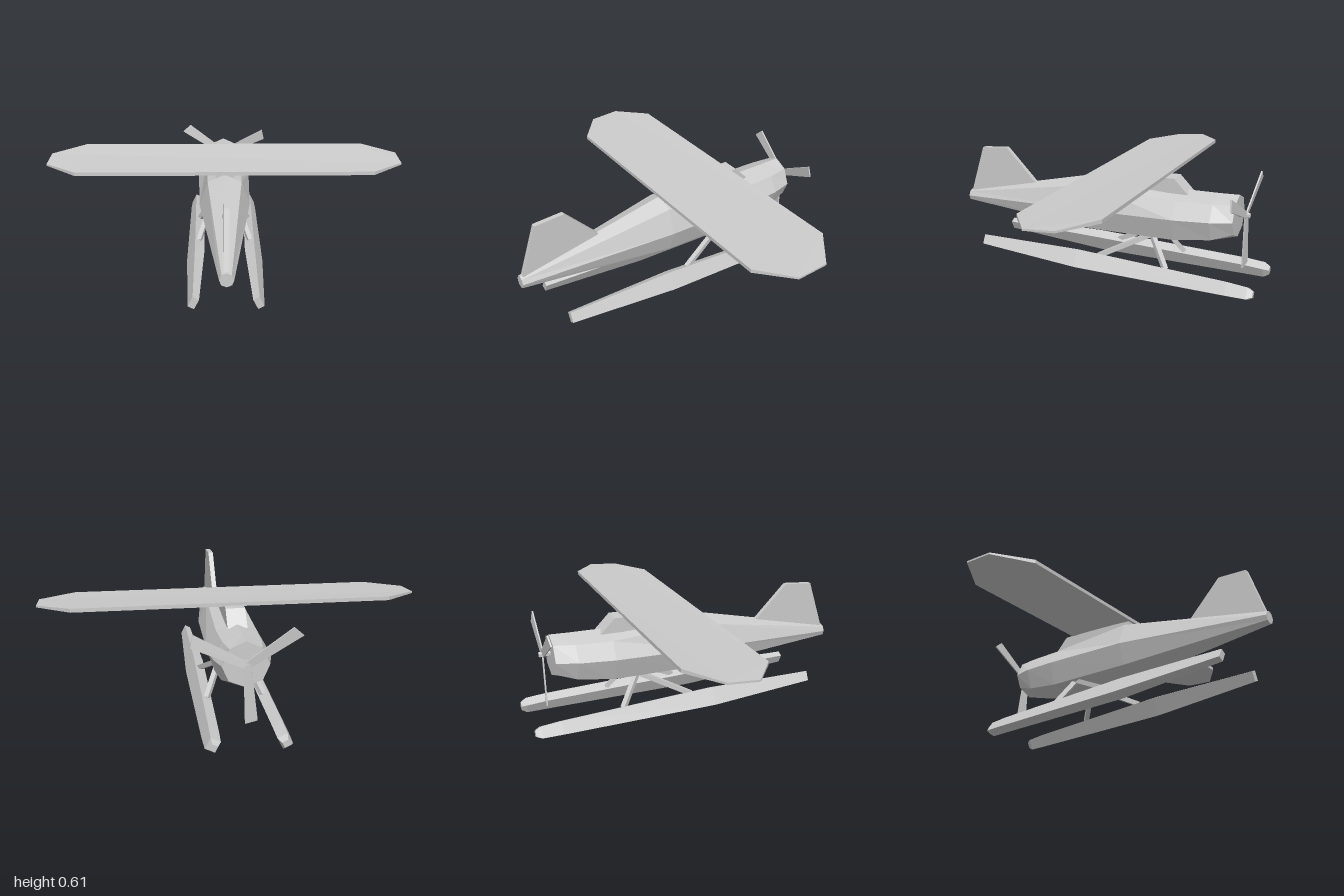
import * as THREE from 'three';

const material = new THREE.MeshStandardMaterial({ color: 0xcccccc, flatShading: true, side: THREE.DoubleSide });

function mesh(name, geometry) {
  const m = new THREE.Mesh(geometry, material);
  m.name = name;
  return m;
}

// Skin closed rings of [x, y, z] points (counter-clockwise, ordered towards +z) and cap both ends
function loft(rings) {
  const pos = [];
  const n = rings[0].length;
  const tri = (...pts) => pts.forEach((p) => pos.push(...p));
  for (let i = 0; i < rings.length - 1; i++) {
    for (let j = 0; j < n; j++) {
      const k = (j + 1) % n;
      const [a, b, c, d] = [rings[i][j], rings[i][k], rings[i + 1][k], rings[i + 1][j]];
      tri(a, b, c);
      tri(a, c, d);
    }
  }
  const first = rings[0], last = rings[rings.length - 1];
  for (let j = 1; j < n - 1; j++) {
    tri(first[0], first[j + 1], first[j]);
    tri(last[0], last[j], last[j + 1]);
  }
  const g = new THREE.BufferGeometry();
  g.setAttribute('position', new THREE.Float32BufferAttribute(pos, 3));
  g.computeVertexNormals();
  return g;
}

// Extrude an outline to a slab centred on its own plane
function slab(points, depth) {
  const shape = new THREE.Shape(points.map(([x, y]) => new THREE.Vector2(x, y)));
  return new THREE.ExtrudeGeometry(shape, { depth, bevelEnabled: false }).translate(0, 0, -depth / 2);
}

// Slab drawn in side profile, [z, y] points, thickness along x
const sideSlab = (points, width) => slab(points.map(([z, y]) => [-z, y]), width).rotateY(Math.PI / 2);

// Square rod between two points
function rod(name, from, to, size) {
  const a = new THREE.Vector3(...from), b = new THREE.Vector3(...to);
  const m = mesh(name, new THREE.BoxGeometry(size, size, a.distanceTo(b)));
  m.position.copy(a).lerp(b, 0.5);
  m.lookAt(b);
  return m;
}

// Eight-sided body: z, half width, then bottom, lower, middle, upper and top heights
function fuselage() {
  const sections = [
    [-0.765, 0.115, 0.285, 0.32, 0.395, 0.48, 0.515],
    [-0.65, 0.142, 0.25, 0.28, 0.387, 0.473, 0.51],
    [-0.45, 0.153, 0.225, 0.25, 0.375, 0.465, 0.505],
    [0.06, 0.14, 0.205, 0.235, 0.352, 0.485, 0.525],
    [0.91, 0.035, 0.255, 0.265, 0.29, 0.315, 0.325],
  ];
  return mesh('fuselage', loft(sections.map(([z, w, b, l, m, u, t]) => [
    [0, b, z], [w * 0.72, l, z], [w, m, z], [w * 0.67, u, z],
    [0, t, z], [-w * 0.67, u, z], [-w, m, z], [-w * 0.72, l, z],
  ])));
}

// Flat wing with clipped tips, thinner at the ends and raised at the leading edge
function wing() {
  const half = [[0.82, -0.37], [1, -0.23], [1, -0.065], [0.82, 0.075]];
  const outline = [...half, ...half.map(([x, z]) => [-x, z]).reverse()];
  const g = slab(outline, 0.02).rotateX(Math.PI / 2);
  const p = g.attributes.position;
  for (let i = 0; i < p.count; i++) {
    const thin = Math.abs(p.getX(i)) > 0.9 ? 0.5 : 1;
    p.setY(i, p.getY(i) * thin + 0.535 + 0.09 * (0.075 - p.getZ(i)));
  }
  g.computeVertexNormals();
  return mesh('wing', g);
}

// Tilted rectangular hull: z, centre x, centre y, width, height
function float(side) {
  const sections = [
    [-0.91, 0.172, 0.05, 0.032, 0.032],
    [-0.88, 0.172, 0.05, 0.054, 0.062],
    [-0.77, 0.172, 0.054, 0.056, 0.072],
    [0.1, 0.163, 0.065, 0.06, 0.102],
    [0.72, 0.16, 0.078, 0.035, 0.056],
  ];
  const tilt = side * 0.47, c = Math.cos(tilt), s = Math.sin(tilt);
  return mesh(side > 0 ? 'leftFloat' : 'rightFloat', loft(sections.map(([z, x, y, w, h]) =>
    [[-1, -1], [1, -1], [1, 1], [-1, 1]].map(([i, j]) => {
      const u = i * w / 2, v = j * h / 2;
      return [side * x + u * c - v * s, y + u * s + v * c, z];
    }))));
}

// Three blades round a small hub
function propeller() {
  const group = new THREE.Group();
  group.name = 'propeller';
  for (let i = 0; i < 3; i++) {
    const arm = new THREE.Group();
    const blade = mesh('propellerBlade', slab([[-0.018, 0], [0.018, 0], [0.032, 0.28], [-0.03, 0.295]], 0.008));
    blade.rotation.y = 0.12;
    arm.rotation.z = THREE.MathUtils.degToRad(176 + i * 120);
    arm.add(blade);
    group.add(arm);
  }
  const hub = mesh('propellerHub', new THREE.CylinderGeometry(0.015, 0.015, 0.07, 6).rotateX(Math.PI / 2));
  hub.position.z = 0.015;
  group.add(hub);
  group.position.set(0, 0.41, -0.805);
  group.rotation.y = -0.05;
  return group;
}

export function createModel() {
  const model = new THREE.Group();
  model.name = 'seaplane';
  model.add(fuselage(), wing(), propeller());

  // Windscreen and wing mount
  model.add(mesh('cabin', sideSlab(
    [[-0.5, 0.49], [-0.42, 0.57], [-0.36, 0.568], [0.06, 0.53], [0.06, 0.48]], 0.1)));

  // Upright tail fin
  model.add(mesh('tailFin', sideSlab(
    [[0.905, 0.3], [0.805, 0.6], [0.64, 0.615], [0.455, 0.43], [0.455, 0.4]], 0.028)));

  // Floats with their V-shaped struts
  for (const side of [1, -1]) {
    model.add(float(side));
    const top = [side * 0.07, 0.25, -0.31];
    model.add(rod('frontStrut', top, [side * 0.148, 0.09, -0.42], 0.026));
    model.add(rod('rearStrut', top, [side * 0.148, 0.1, -0.02], 0.026));
  }
  return model;
}
